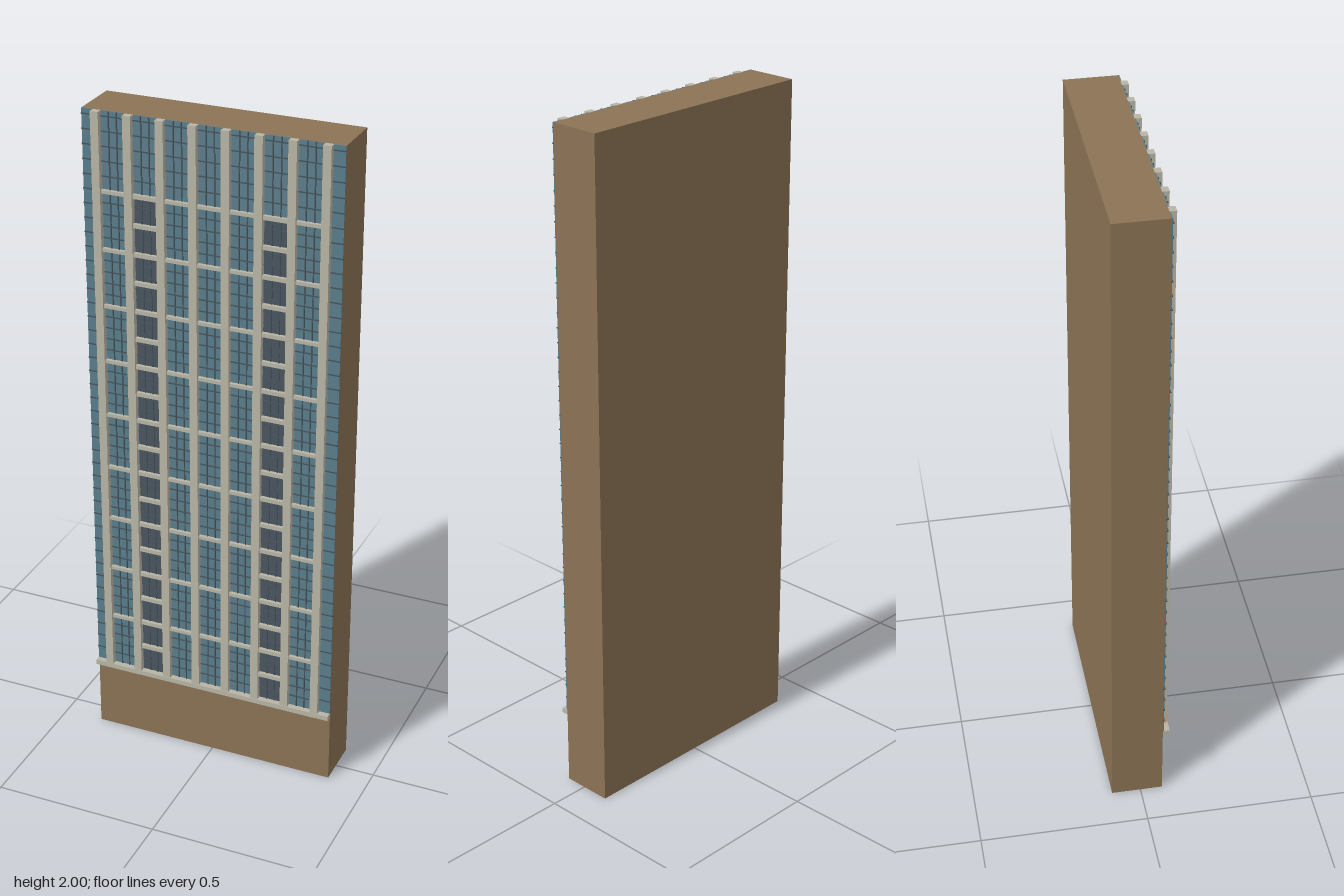
import * as THREE from 'three';

const mat = (name, color) => {
  const m = new THREE.MeshStandardMaterial({ color });
  m.name = name;
  return m;
};

export function createModel() {
  const group = new THREE.Group();
  const brown = mat('brown masonry', 0x8b7355);
  const stone = mat('pale stone', 0xb8b5a6);
  const glass = mat('blue glass', 0x5a7d8c);
  const darkGlass = mat('dark glass', 0x4a5560);
  const frame = mat('dark frame', 0x44535a);

  // Box given by its limits on each axis
  function box(name, material, x0, x1, y0, y1, z0, z1) {
    const mesh = new THREE.Mesh(new THREE.BoxGeometry(x1 - x0, y1 - y0, z1 - z0), material);
    mesh.position.set((x0 + x1) / 2, (y0 + y1) / 2, (z0 + z1) / 2);
    mesh.name = name;
    group.add(mesh);
  }

  const halfW = 0.38, wall = 0.066, front = 0.087;
  const base = 0.235, top = 2, crown = 1.772;
  const pitch = 0.0955, pierHalf = 0.012, floors = 9;
  const floorH = (crown - base) / floors;
  const slatH = 0.003, slatZ = 0.072;

  // Main block and the ledge above its plain base
  box('towerBlock', brown, -halfW, halfW, 0, top, -front, wall);
  box('baseLedge', stone, -halfW, halfW, 0.22, base, wall, front);

  // Eight full-height piers
  for (let i = 0; i < 8; i++) {
    const x = (i - 3.5) * pitch;
    box('pier', stone, x - pierHalf, x + pierHalf, base, top, wall, 0.0855);
  }

  // Thin horizontal glazing bars
  function slats(x0, x1, y0, y1, step) {
    for (let y = y0 + step; y < y1 - 0.01; y += step) {
      box('glazingBar', frame, x0, x1, y - slatH / 2, y + slatH / 2, wall, slatZ);
    }
  }

  // Seven window bays, the second and sixth with dark glass
  for (let i = 0; i < 7; i++) {
    const x = (i - 3) * pitch, half = pitch / 2 - pierHalf;
    const x0 = x - half, x1 = x + half;
    const dark = i === 1 || i === 5;
    box('bayGlass', dark ? darkGlass : glass, x0, x1, base, crown, wall, 0.069);
    box('crownGlass', glass, x0, x1, crown, top, wall, 0.069);
    slats(x0, x1, base, crown, floorH / 5);
    slats(x0, x1, crown, top, floorH / 4);

    // Vertical mullions
    for (const s of [-1, 1]) {
      const mx = x + s * half / 3;
      box('mullion', frame, mx - 0.0015, mx + 0.0015, base, top, wall, slatZ);
    }

    // Stone floor bands, twice as frequent in the dark bays
    const count = dark ? floors * 2 : floors;
    for (let k = 1; k <= count; k++) {
      const y = base + k * (crown - base) / count;
      const h = dark ? 0.006 : 0.005;
      box('floorBand', stone, x0, x1, y - h, y + h, wall, 0.08);
    }
  }

  // Narrow glazed strips at both edges
  for (const s of [-1, 1]) {
    const a = s * (3.5 * pitch + pierHalf), b = s * halfW;
    const x0 = Math.min(a, b), x1 = Math.max(a, b);
    box('edgeGlass', glass, x0, x1, base, top, wall, 0.069);
    slats(x0, x1, base, top, floorH / 4);
  }

  return group;
}
